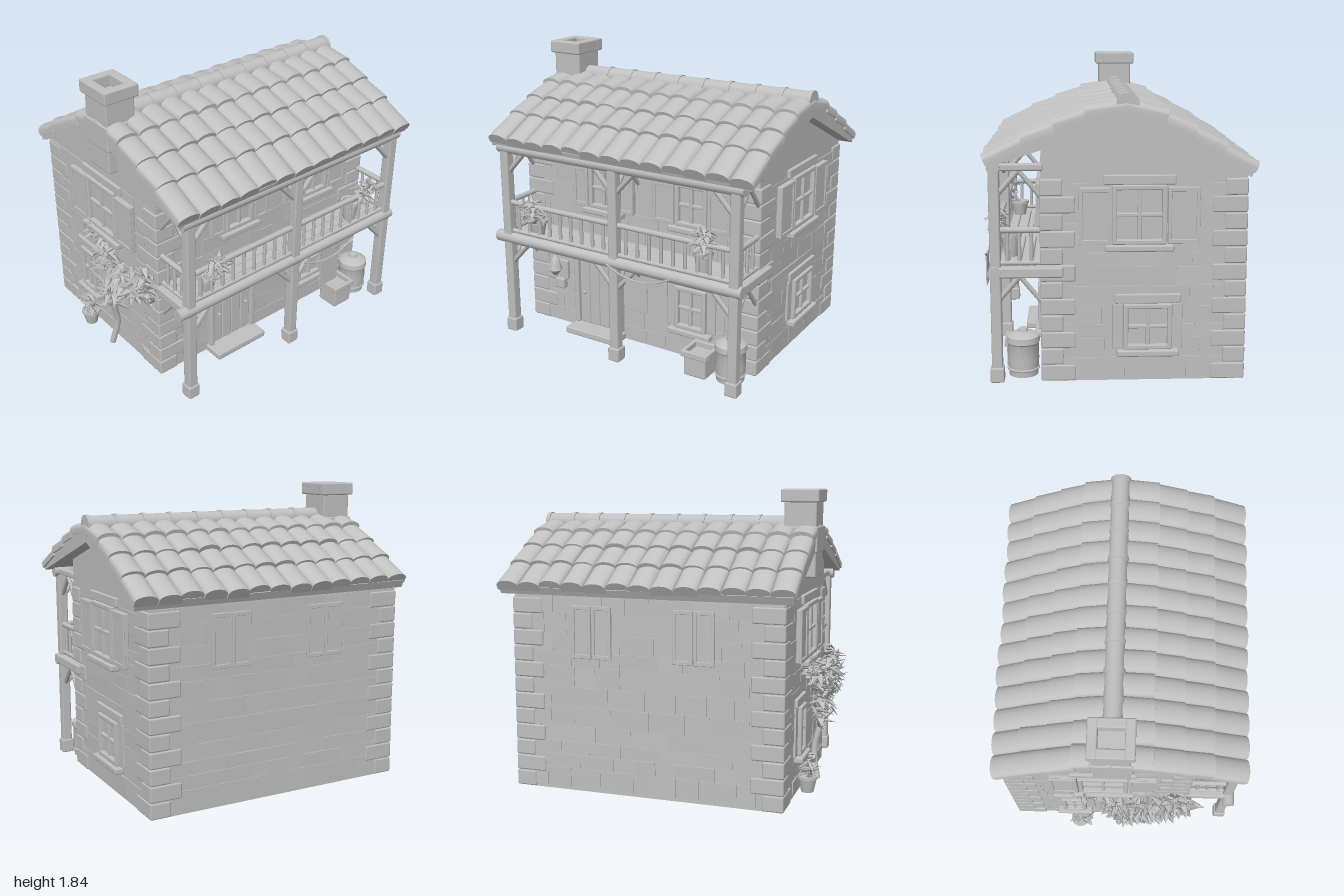
import * as THREE from 'three';
import { mergeGeometries, toCreasedNormals } from 'three/addons/utils/BufferGeometryUtils.js';
import { RoundedBoxGeometry } from 'three/addons/geometries/RoundedBoxGeometry.js';

const grey = new THREE.MeshStandardMaterial({ color: 0xc0c0c0 });
grey.name = 'plain grey';

let seed = 7;
const rand = (a = 0, b = 1) => {
  seed = (seed * 16807) % 2147483647;
  return a + (b - a) * seed / 2147483647;
};
const V = (x, y, z) => new THREE.Vector3(x, y, z);

function add(parent, name, geo, x = 0, y = 0, z = 0) {
  const m = new THREE.Mesh(geo, grey);
  m.name = name;
  m.position.set(x, y, z);
  parent.add(m);
  return m;
}
// Box with softly worn edges
const box = (p, name, w, h, d, x, y, z) =>
  add(p, name, new RoundedBoxGeometry(w, h, d, 1, Math.min(0.01, Math.min(w, h, d) / 4)), x, y, z);
function bar(p, name, a, b, r, sides = 8) {
  const m = add(p, name, new THREE.CylinderGeometry(r, r, a.distanceTo(b), sides));
  m.position.copy(a).lerp(b, 0.5);
  m.quaternion.setFromUnitVectors(V(0, 1, 0), b.clone().sub(a).normalize());
  return m;
}
function group(parent, name, x = 0, y = 0, z = 0, ry = 0) {
  const g = new THREE.Group();
  g.name = name;
  g.position.set(x, y, z);
  g.rotation.y = ry;
  parent.add(g);
  return g;
}
const lathe = (pts, n = 16) => toCreasedNormals(new THREE.LatheGeometry(pts.map(p => new THREE.Vector2(...p)), n).toNonIndexed(), 0.7);

// A (z, y) outline drawn out along x from x0 to x1
function prism(points, x0, x1) {
  const g = new THREE.ExtrudeGeometry(new THREE.Shape(points.map(p => new THREE.Vector2(...p))), { depth: x1 - x0, bevelEnabled: false });
  return g.rotateY(-Math.PI / 2).translate(x1, 0, 0);
}

// Irregular raised masonry on one wall
function stones(wall, w, top) {
  const list = [];
  for (let y = 0.02; y < top - 0.06;) {
    const h = Math.min(rand(0.08, 0.13), top - y);
    for (let x = -w / 2; x < w / 2 - 0.01;) {
      let l = Math.min(rand(0.11, 0.26), w / 2 - x);
      if (w / 2 - x - l < 0.06) l = w / 2 - x;
      const t = rand(0.002, 0.008);
      list.push(new THREE.BoxGeometry(l - 0.002, h - 0.002, t).rotateX(rand(-0.02, 0.02)).translate(x + l / 2, y + h / 2, t / 2));
      x += l;
    }
    y += h;
  }
  add(wall, 'wallStones', mergeGeometries(list));
}

// Framed wooden shutter
function shutter(p, w, h, x, y, z = 0) {
  box(p, 'shutter', w, h, 0.03, x, y, z + 0.017);
  for (const s of [-1, 1]) {
    box(p, 'shutterStile', 0.02, h, 0.012, x + s * (w / 2 - 0.01), y, z + 0.034);
    box(p, 'shutterRail', w, 0.025, 0.012, x, y + s * (h / 2 - 0.0125), z + 0.034);
  }
}

// Four-pane window with sill, lintel and optional shutters
function windowUnit(wall, w, h, x, y, sw = 0, lintel = true) {
  const g = group(wall, 'window', x, y, 0);
  box(g, 'glass', w, h, 0.008, 0, 0, 0.008);
  for (const s of [-1, 1]) {
    box(g, 'frameSide', 0.028, h, 0.04, s * (w / 2 - 0.014), 0, 0.02);
    box(g, 'frameRail', w, 0.028, 0.04, 0, s * (h / 2 - 0.014), 0.02);
    if (sw) shutter(g, sw, h * 0.95, s * (w / 2 + sw / 2 + 0.006), -0.005);
    else box(g, 'jambStone', 0.06, h, 0.018, s * (w / 2 + 0.03), 0, 0.009);
  }
  box(g, 'mullion', 0.02, h, 0.03, 0, 0, 0.016);
  box(g, 'glazingBar', w, 0.02, 0.03, 0, 0, 0.016);
  box(g, 'sill', w + 0.08, 0.038, 0.06, 0, -h / 2 - 0.019, 0.03);
  if (lintel) box(g, 'lintel', w + 0.1, 0.055, 0.025, 0, h / 2 + 0.028, 0.0125);
}

// Scattered leaves around a list of centres
function foliage(p, name, centres, n, rx, ry, rz, size) {
  const list = [];
  for (let i = 0; i < n; i++) {
    const c = centres[i % centres.length];
    const a = rand(0, 6.28), v = rand(-1, 1), r = Math.cbrt(rand()), q = Math.sqrt(1 - v * v) * r;
    list.push(new THREE.ConeGeometry(size * 0.4, size * rand(0.8, 1.4), 5).scale(1, 1, 0.3)
      .rotateX(rand(0.6, 2.6)).rotateY(a)
      .translate(c.x + Math.sin(a) * q * rx, c.y + v * r * ry, c.z + Math.cos(a) * q * rz));
  }
  add(p, name, mergeGeometries(list));
}

const X0 = -0.8, X1 = 0.88, ZF = 0.42, ZB = -0.735, RZ = -0.06;
const FRONT = [[RZ, 1.61], [0.17, 1.56], [0.345, 1.49], [0.52, 1.415], [0.725, 1.3]];
const BACK = [[RZ, 1.61], [-0.275, 1.54], [-0.43, 1.455], [-0.595, 1.36], [-0.765, 1.25]];

function buildHouse(root) {
  const g = group(root, 'house');
  add(g, 'walls', prism([[ZB, 0], [ZF, 0], [ZF, 1.4], [RZ, 1.54], [ZB, 1.23]], X0, X1));
  const cx = (X0 + X1) / 2, cz = (ZF + ZB) / 2;
  const front = group(g, 'frontWall', cx, 0, ZF), back = group(g, 'backWall', cx, 0, ZB, Math.PI);
  const left = group(g, 'leftWall', X1, 0, cz, Math.PI / 2), right = group(g, 'rightWall', X0, 0, cz, -Math.PI / 2);
  stones(front, X1 - X0, 1.36);
  stones(back, X1 - X0, 1.2);
  for (const w of [left, right]) stones(w, ZF - ZB, 1.2);

  // Alternating corner blocks
  for (let i = 0; i < 12; i++) {
    for (const x of [X0, X1]) for (const z of [ZF, ZB]) {
      const a = i % 2 ? 0.2 : 0.13, b = i % 2 ? 0.13 : 0.2, sx = Math.sign(x), sz = Math.sign(z);
      box(g, 'cornerStone', a, 0.097, b, x + sx * (0.012 - a / 2), 0.05 + i * 0.099, z + sz * (0.012 - b / 2));
    }
  }

  // Windows and shutters
  windowUnit(front, 0.22, 0.27, -0.195 - cx, 1.01, 0.11, false);
  windowUnit(front, 0.22, 0.27, 0.44 - cx, 1.01, 0.15, false);
  windowUnit(front, 0.22, 0.28, 0.44 - cx, 0.34);
  windowUnit(left, 0.31, 0.34, cz + 0.13, 0.985, 0.18);
  windowUnit(left, 0.28, 0.27, cz + 0.18, 0.33);
  windowUnit(right, 0.31, 0.34, -0.12 - cz, 0.985, 0.17);
  windowUnit(right, 0.16, 0.3, -0.33 - cz, 0.4);
  for (const x of [0.37, -0.27]) for (const s of [-1, 1]) shutter(back, 0.125, 0.32, cx - x + s * 0.065, 0.99, -0.02);

  // Plank door with lintel and step
  const d = group(front, 'door', -0.25 - cx, 0, 0);
  for (let i = 0; i < 4; i++) box(d, 'doorPlank', 0.074, 0.46, 0.03, -0.1125 + i * 0.075, 0.28, 0.01);
  for (const s of [-1, 1]) {
    box(d, 'doorJamb', 0.035, 0.46, 0.05, s * 0.167, 0.28, 0.02);
    add(d, 'doorKnob', new THREE.SphereGeometry(0.012, 8, 6), s * 0.11, 0.27, 0.035);
  }
  box(d, 'doorLintel', 0.39, 0.06, 0.08, 0, 0.54, 0.03);
  box(d, 'doorStep', 0.39, 0.045, 0.14, 0, 0.023, 0.07);

  // Wall lantern
  const l = group(front, 'lantern', -0.555 - cx, 0, 0);
  box(l, 'lanternPlate', 0.11, 0.13, 0.025, 0, 0.39, 0.015);
  bar(l, 'lanternArm', V(0, 0.5, 0), V(0, 0.52, 0.085), 0.008);
  add(l, 'lanternShade', lathe([[0, 0.37], [0.018, 0.375], [0.045, 0.41], [0.038, 0.43], [0.028, 0.48], [0.008, 0.505], [0, 0.52]], 8), 0, 0, 0.085);
  box(l, 'lanternShelf', 0.07, 0.07, 0.05, 0, 0.295, 0.025);
}

function buildRoof(root) {
  const g = group(root, 'roof');
  const x0 = -0.865, x1 = 0.98, cols = 13, w = (x1 - x0) / cols;

  // Deck: stepped slopes above, straight soffit below, closing against the gables
  const top = [...FRONT].reverse().concat(BACK.slice(1));
  add(g, 'roofDeck', prism([...top, [-0.745, 1.205], [RZ, 1.515], [0.715, 1.265]], x0 + 0.01, x1 - 0.01));

  // Overlapping barrel tiles, four courses on each slope
  const s = new THREE.Shape();
  s.moveTo(-w / 2, -0.03);
  s.lineTo(w / 2, -0.03);
  s.lineTo(w / 2, 0);
  s.absellipse(0, 0, w / 2, 0.036, 0, Math.PI, false);
  for (const side of [FRONT, BACK]) {
    const list = [];
    for (let r = 0; r < 4; r++) for (let c = 0; c < cols; c++) {
      const a = V(0, side[r][1] - 0.006, side[r][0]), b = V(0, side[r + 1][1] + 0.012, side[r + 1][0]);
      const zAxis = b.clone().sub(a), len = zAxis.length() + rand(0.002, 0.014);
      zAxis.normalize();
      const xAxis = V(side === FRONT ? 1 : -1, 0, 0), yAxis = zAxis.clone().cross(xAxis);
      const tile = new THREE.ExtrudeGeometry(s, { depth: len, bevelEnabled: false, curveSegments: 8 });
      tile.rotateY(rand(-0.02, 0.02)).applyMatrix4(new THREE.Matrix4().makeBasis(xAxis, yAxis, zAxis));
      list.push(tile.translate(x0 + w * (c + 0.5), a.y + rand(-0.004, 0.004), a.z));
    }
    add(g, side === FRONT ? 'frontTiles' : 'backTiles', toCreasedNormals(mergeGeometries(list), 0.7));
  }

  // Ridge caps, each with a raised lip
  for (let i = 0; i < 9; i++) {
    const x = -0.56 + i * 0.18;
    bar(g, 'ridgeCap', V(x - 0.09, 1.612, RZ), V(x + 0.09, 1.612, RZ), 0.058, 16);
    bar(g, 'ridgeLip', V(x + 0.07, 1.612, RZ), V(x + 0.095, 1.612, RZ), 0.064, 16);
  }

  // Hollow chimney
  const c = group(g, 'chimney', -0.757, 0, RZ);
  box(c, 'chimneyStack', 0.2, 0.46, 0.22, 0, 1.53, 0);
  box(c, 'chimneyFlashing', 0.22, 0.16, 0.25, 0, 1.53, 0);
  for (const k of [-1, 1]) {
    box(c, 'chimneyRim', 0.235, 0.08, 0.06, 0, 1.795, k * 0.105);
    box(c, 'chimneyRim', 0.06, 0.08, 0.17, k * 0.0875, 1.795, 0);
  }
}

function buildPorch(root) {
  const g = group(root, 'porch'), z = 0.685, xs = [-0.77, 0.05, 0.87];
  for (const x of xs) {
    box(g, 'post', 0.062, 1.24, 0.062, x, 0.62, z);
    box(g, 'postFoot', 0.08, 0.09, 0.08, x, 0.045, z);
    for (const y of [0.63, 1.24]) {
      for (const s of [-1, 1]) if (Math.abs(x + s * 0.2) < 0.9) bar(g, 'brace', V(x, y - 0.16, z), V(x + s * 0.15, y, z), 0.016, 6);
      bar(g, 'brace', V(x, y - 0.16, z), V(x, y, z - 0.14), 0.016, 6);
      bar(g, 'brace', V(x, y - 0.16, ZF), V(x, y, ZF + 0.13), 0.014, 6);
    }
    box(g, 'floorJoist', 0.075, 0.06, 0.42, x * 1.01, 0.655, 0.51);
    box(g, 'roofTie', 0.05, 0.04, 0.28, x, 1.255, 0.55);
  }
  bar(g, 'topBeam', V(-0.82, 1.255, z), V(0.92, 1.255, z), 0.037, 12);
  bar(g, 'floorBeam', V(-0.86, 0.655, 0.69), V(0.92, 0.655, 0.69), 0.038, 12);
  for (let i = 0; i < 4; i++) box(g, 'floorBoard', 1.66, 0.03, 0.066, 0.05, 0.668, 0.445 + i * 0.068);

  // Balcony railing on the front and both ends
  for (const [y, r] of [[0.895, 0.018], [0.705, 0.015]]) {
    bar(g, 'rail', V(xs[0], y, z), V(xs[2], y, z), r);
    for (const x of [xs[0], xs[2]]) bar(g, 'endRail', V(x, y, ZF), V(x, y, z), r);
  }
  for (let i = 1; i < 20; i++) bar(g, 'baluster', V(-0.77 + i * 0.082, 0.69, z), V(-0.77 + i * 0.082, 0.89, z), 0.011, 6);
  for (const x of [xs[0], xs[2]]) for (let i = 0; i < 3; i++) bar(g, 'baluster', V(x, 0.69, 0.48 + i * 0.068), V(x, 0.89, 0.48 + i * 0.068), 0.011, 6);

  // Sagging line with a hanging cloth
  const line = new THREE.CatmullRomCurve3([V(0.05, 0.67, 0.775), V(0.15, 0.63, 0.78), V(0.27, 0.615, 0.785), V(0.39, 0.63, 0.78), V(0.49, 0.67, 0.775)]);
  add(g, 'clothesLine', new THREE.TubeGeometry(line, 20, 0.006, 6));
  box(g, 'hangingCloth', 0.15, 0.19, 0.008, 0.27, 0.52, 0.785);
}

function buildProps(root) {
  const pot = (w, h) => lathe([[0, 0], [w * 0.7, 0], [w, h * 0.8], [w * 1.12, h * 0.82], [w * 1.12, h], [w * 0.9, h], [w * 0.85, h * 0.88], [0, h * 0.88]]);
  const g = group(root, 'yardItems');

  // Flower pots on the balcony and by the right wall
  for (const [x, y, z, px, py, pz, h, r] of [
    [-0.59, 0.685, 0.62, -0.57, 0.87, 0.69, 0.1, 0.11],
    [0.62, 0.685, 0.61, 0.66, 0.91, 0.69, 0.14, 0.09],
    [-0.86, 0, -0.3, -0.87, 0.16, -0.28, 0.1, 0.05]]) {
    add(g, 'flowerPot', pot(0.055, h), x, y, z);
    bar(g, 'plantStem', V(x, y + h * 0.8, z), V(px, py, pz), 0.012, 6);
    foliage(g, 'pottedPlant', [V(px, py, pz)], 45, r, 0.085, 0.07, 0.055);
  }

  // Lidded barrel and crate
  add(g, 'barrel', lathe([[0, 0], [0.085, 0], [0.092, 0.1], [0.09, 0.19], [0.098, 0.2], [0.095, 0.235], [0.06, 0.255], [0.03, 0.26], [0.025, 0.28], [0, 0.285]]), 0.775, 0.01, 0.54);
  const hoop = add(g, 'barrelHoop', new THREE.TorusGeometry(0.088, 0.008, 6, 20), 0.775, 0.05, 0.54);
  hoop.rotation.x = Math.PI / 2;
  box(g, 'crateBody', 0.15, 0.13, 0.15, 0.585, 0.075, 0.57);
  for (const s of [-1, 1]) {
    box(g, 'crateRim', 0.18, 0.04, 0.025, 0.585, 0.155, 0.57 + s * 0.0775);
    box(g, 'crateRim', 0.025, 0.04, 0.13, 0.585 + s * 0.0775, 0.155, 0.57);
  }

  // Climbing vine on the right wall
  const stem = new THREE.CatmullRomCurve3([V(-0.87, 0, -0.03), V(-0.84, 0.18, 0), V(-0.87, 0.35, 0.02), V(-0.86, 0.52, 0.08), V(-0.84, 0.72, 0.34)]);
  add(g, 'vineStem', new THREE.TubeGeometry(stem, 24, 0.02, 7));
  const tops = [V(-0.88, 0.45, 0.02), V(-0.9, 0.55, 0.06), V(-0.895, 0.62, 0.17), V(-0.88, 0.66, 0.28), V(-0.86, 0.68, 0.36), V(-0.87, 0.66, -0.02)];
  foliage(g, 'vineLeaves', tops, 260, 0.085, 0.12, 0.14, 0.07);
  foliage(g, 'vineShoot', [V(-0.84, 0.74, -0.12), V(-0.84, 0.76, -0.24)], 40, 0.05, 0.06, 0.1, 0.06);
}

export function createModel() {
  const root = new THREE.Group();
  root.name = 'stoneHouse';
  buildHouse(root);
  buildRoof(root);
  buildPorch(root);
  buildProps(root);
  return root;
}
